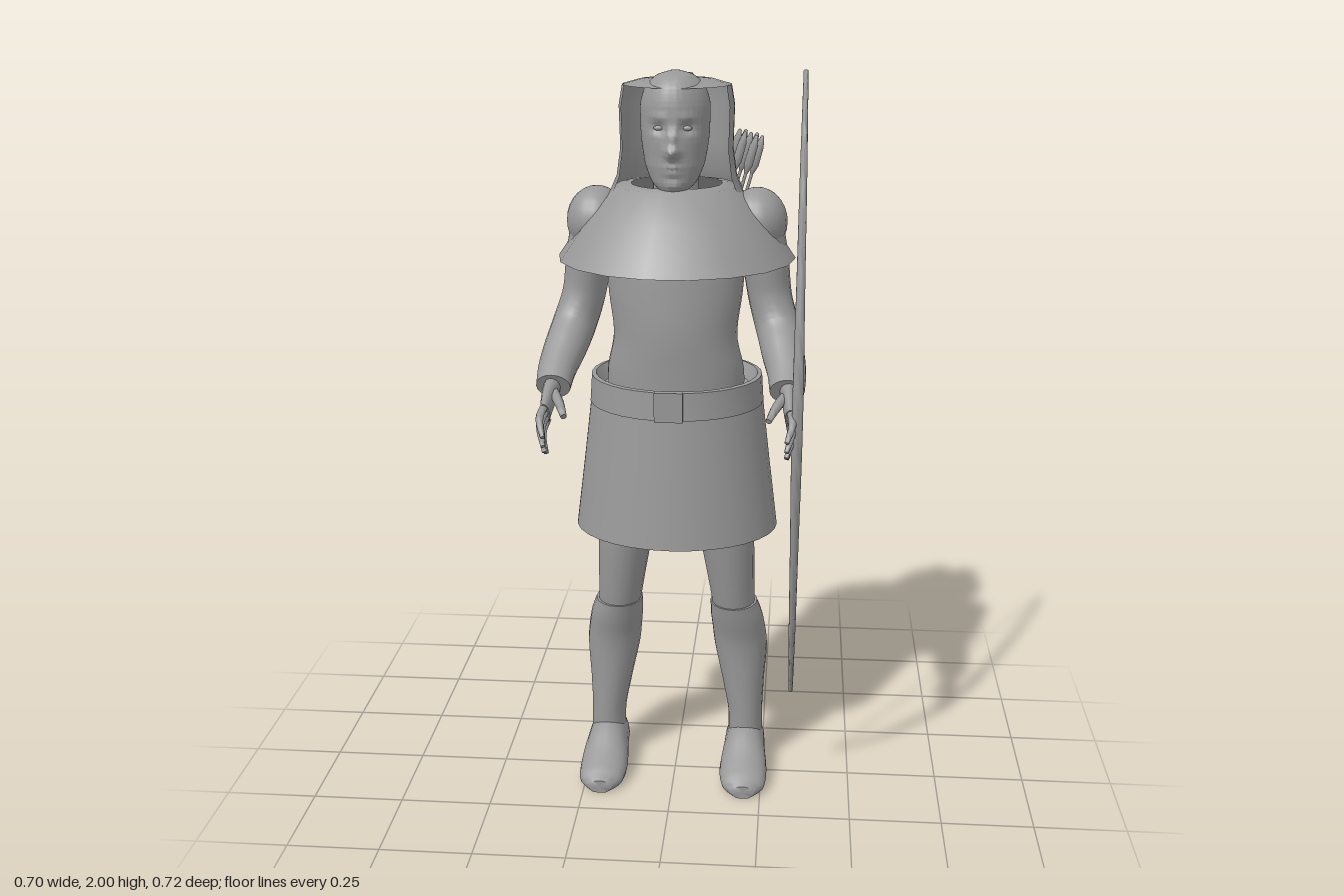
import * as THREE from 'three';
import { toCreasedNormals } from 'three/addons/utils/BufferGeometryUtils.js';

const V = (x, y, z) => new THREE.Vector3(x, y, z);
const grey = new THREE.MeshStandardMaterial({ color: 0x999999, side: THREE.DoubleSide });
grey.name = 'plain grey';

function mesh(name, geometry, parent) {
  const m = new THREE.Mesh(geometry, grey);
  m.name = name;
  parent.add(m);
  return m;
}

// Capped skin over elliptical sections [x, y, z, radius across, radius other way].
// A fixed axis keeps the rings parallel; otherwise they follow the path.
function loft(sections, { rings = 24, sides = 20, axis = null, shape = null, crease = 1 } = {}) {
  const path = new THREE.CatmullRomCurve3(sections.map(s => V(s[0], s[1], s[2])));
  const radii = new THREE.CatmullRomCurve3(sections.map(s => V(s[3], s[4], 0)));
  const pos = [], index = [];
  for (let i = -1; i <= rings + 1; i++) {
    const t = Math.min(Math.max(i / rings, 0), 1);
    const end = i < 0 || i > rings ? 0 : 1;
    const c = path.getPoint(t), r = radii.getPoint(t);
    const dir = axis || path.getTangent(t);
    const across = V(1, 0, 0).addScaledVector(dir, -dir.x).normalize();
    const other = dir.clone().cross(across);
    for (let j = 0; j < sides; j++) {
      const a = j / sides * Math.PI * 2;
      const p = c.clone().addScaledVector(across, Math.cos(a) * r.x * end)
        .addScaledVector(other, Math.sin(a) * r.y * end);
      if (shape) shape(p);
      pos.push(p.x, p.y, p.z);
    }
  }
  for (let i = 0; i < rings + 2; i++) for (let j = 0; j < sides; j++) {
    const a = i * sides + j, b = i * sides + (j + 1) % sides;
    index.push(a, b, a + sides, b, b + sides, a + sides);
  }
  const g = new THREE.BufferGeometry();
  g.setAttribute('position', new THREE.Float32BufferAttribute(pos, 3));
  g.setIndex(index);
  return toCreasedNormals(g, crease);
}

// Turned shell given as [radius, y] pairs
function turned(points, sides, start = 0, length = Math.PI * 2) {
  return new THREE.LatheGeometry(points.map(p => new THREE.Vector2(p[0], p[1])), sides, start, length);
}

// Soft bumps and hollows for the features: [x, y, width, height, depth]
const features = [
  [0, 1.795, 0.017, 0.016, 0.030], [0, 1.83, 0.011, 0.026, 0.015],
  [0.036, 1.855, 0.019, 0.013, -0.013], [-0.036, 1.855, 0.019, 0.013, -0.013],
  [0.035, 1.882, 0.022, 0.008, 0.004], [-0.035, 1.882, 0.022, 0.008, 0.004],
  [0, 1.761, 0.022, 0.006, 0.008], [0, 1.745, 0.02, 0.006, 0.008],
  [0, 1.71, 0.02, 0.012, 0.006]
];
function sculptFace(p) {
  if (p.z < 0.02) return;
  let dz = 0;
  for (const [x, y, w, h, d] of features)
    dz += d * Math.exp(-(((p.x - x) / w) ** 2) - ((p.y - y) / h) ** 2);
  p.z += dz;
}

function buildHead(parent) {
  const head = new THREE.Group();
  head.name = 'head';
  parent.add(head);
  mesh('face', loft([
    [0, 1.688, 0.055, 0.028, 0.03], [0, 1.715, 0.032, 0.057, 0.062], [0, 1.76, 0.01, 0.077, 0.088],
    [0, 1.83, 0, 0.088, 0.098], [0, 1.9, -0.005, 0.09, 0.1], [0, 1.95, -0.005, 0.078, 0.09],
    [0, 1.98, -0.005, 0.047, 0.058], [0, 1.991, -0.005, 0.012, 0.015]
  ], { rings: 80, sides: 80, axis: V(0, 1, 0), shape: sculptFace, crease: 1.4 }), head);
  mesh('neck', new THREE.CylinderGeometry(0.055, 0.07, 0.2, 20), head).position.set(0, 1.66, -0.02);
  for (const s of [-1, 1]) {
    const eye = mesh('eye', new THREE.SphereGeometry(0.013, 16, 10), head);
    eye.scale.set(1, 0.5, 0.5);
    eye.position.set(s * 0.036, 1.855, 0.078);
  }
}

function buildHood(parent) {
  const hood = new THREE.Group();
  hood.name = 'hood';
  parent.add(hood);
  // Shell open at the face
  const open = 1.17;
  mesh('hoodShell', turned([[0.175, 1.68], [0.158, 1.72], [0.148, 1.79], [0.151, 1.9], [0.142, 1.952]],
    14, open, Math.PI * 2 - open * 2), hood).position.z = -0.058;
  mesh('hoodTop', turned([[0.142, 1.952], [0.1, 1.964], [0.05, 1.969], [0.001, 1.97]], 18), hood).position.z = -0.058;
  mesh('hoodTail', loft([
    [0.0, 1.965, -0.195, 0.032, 0.012], [0.012, 1.88, -0.222, 0.034, 0.022],
    [0.035, 1.74, -0.262, 0.026, 0.02], [0.055, 1.6, -0.302, 0.01, 0.01]
  ], { sides: 10 }), hood);
  mesh('cape', turned([[0.315, 1.505], [0.285, 1.55], [0.235, 1.62], [0.16, 1.695], [0.12, 1.7]], 18, Math.PI / 18),
    hood).position.z = -0.05;
}

function buildBody(parent) {
  mesh('torso', loft([
    [0, 0.84, -0.04, 0.15, 0.11], [0, 1.0, -0.03, 0.18, 0.13], [0, 1.19, -0.02, 0.185, 0.125],
    [0, 1.31, -0.005, 0.165, 0.115], [0, 1.42, -0.01, 0.178, 0.115], [0, 1.52, -0.02, 0.185, 0.115],
    [0, 1.61, -0.04, 0.16, 0.09], [0, 1.67, -0.04, 0.08, 0.06]
  ], { rings: 32, sides: 32, axis: V(0, 1, 0) }), parent);
  // Skirt and belt are oval tubes
  const skirt = mesh('skirt', turned([[0.28, 0.75], [0.255, 0.95], [0.235, 1.12]], 32), parent);
  skirt.scale.z = 0.83;
  skirt.position.z = -0.06;
  const belt = mesh('belt', toCreasedNormals(
    turned([[0.225, 1.11], [0.237, 1.11], [0.232, 1.185], [0.22, 1.187], [0.2, 1.15], [0.13, 1.14]], 32), 0.6), parent);
  belt.scale.z = 0.925;
  belt.position.z = -0.055;
  mesh('buckle', new THREE.BoxGeometry(0.075, 0.08, 0.02), parent).position.set(-0.005, 1.148, 0.16);
}

function buildArm(parent, s) {
  const arm = new THREE.Group();
  arm.name = s > 0 ? 'leftArm' : 'rightArm';
  parent.add(arm);
  const limb = (name, sections, options) =>
    mesh(name, loft(sections.map(([x, ...rest]) => [s * x, ...rest]), options), arm);
  const shoulder = mesh('shoulder', new THREE.SphereGeometry(1, 20, 14), arm);
  shoulder.scale.set(0.08, 0.09, 0.092);
  shoulder.position.set(s * 0.212, 1.6, -0.05);
  limb('sleeve', [
    [0.215, 1.6, -0.05, 0.065, 0.08], [0.235, 1.5, -0.055, 0.062, 0.082], [0.25, 1.4, -0.048, 0.058, 0.075],
    [0.272, 1.325, -0.012, 0.058, 0.066], [0.288, 1.275, 0.06, 0.056, 0.056],
    [0.3, 1.235, 0.13, 0.05, 0.046], [0.302, 1.205, 0.185, 0.045, 0.04]
  ], { rings: 36 });
  limb('palm', [
    [0.302, 1.215, 0.165, 0.022, 0.025], [0.308, 1.19, 0.21, 0.02, 0.034], [0.312, 1.155, 0.265, 0.013, 0.036]
  ], { rings: 10, sides: 14 });
  // Four fingers fan out in the upright plane of the palm
  const tips = [[1.12, 0.355], [1.095, 0.352], [1.073, 0.33], [1.06, 0.3]];
  tips.forEach(([y, z], i) => {
    const y0 = 1.178 - i * 0.016, z0 = 0.27 - i * 0.009;
    limb('finger', [
      [0.312, y0, z0 - 0.01, 0.011, 0.011], [0.318, (y0 + y) / 2 + 0.008, (z0 + z) / 2 + 0.004, 0.01, 0.01],
      [0.305, y, z, 0.006, 0.006]
    ], { rings: 8, sides: 8 });
  });
  limb('thumb', [
    [0.302, 1.2, 0.2, 0.014, 0.014], [0.278, 1.185, 0.255, 0.013, 0.013], [0.258, 1.16, 0.305, 0.008, 0.008]
  ], { rings: 8, sides: 8 });
}

function buildLeg(parent, s) {
  const leg = new THREE.Group();
  leg.name = s > 0 ? 'leftLeg' : 'rightLeg';
  parent.add(leg);
  const limb = (name, sections, options) =>
    mesh(name, loft(sections.map(([x, ...rest]) => [s * x, ...rest]), options), leg);
  const up = V(0, 1, 0);
  limb('thigh', [
    [0.165, 0.48, -0.055, 0.058, 0.07], [0.158, 0.56, -0.045, 0.063, 0.076],
    [0.138, 0.75, -0.03, 0.078, 0.09], [0.105, 0.94, -0.03, 0.085, 0.1]
  ], { axis: up });
  limb('boot', [
    [0.2, 0.05, -0.075, 0.05, 0.06], [0.2, 0.15, -0.073, 0.049, 0.061], [0.192, 0.26, -0.078, 0.06, 0.068],
    [0.182, 0.39, -0.08, 0.076, 0.078], [0.172, 0.47, -0.062, 0.074, 0.08], [0.163, 0.52, -0.05, 0.066, 0.08]
  ], { axis: up, rings: 30 });
  // Foot runs heel to toe with a flat sole
  limb('foot', [
    [0.2, 0.055, -0.138, 0.04, 0.06], [0.2, 0.06, -0.1, 0.056, 0.078], [0.2, 0.055, -0.02, 0.06, 0.08],
    [0.2, 0.038, 0.07, 0.067, 0.052], [0.202, 0.028, 0.13, 0.06, 0.034], [0.202, 0.022, 0.165, 0.03, 0.02]
  ], { axis: V(0, 0, 1), rings: 24, shape: p => { p.y = Math.max(p.y, 0.005); } });
}

function buildBow(parent) {
  const bow = new THREE.Group();
  bow.name = 'bow';
  parent.add(bow);
  mesh('bowStave', loft([
    [0.33, 0.3, 0.07, 0.006, 0.006], [0.33, 0.53, 0.17, 0.009, 0.01], [0.33, 0.8, 0.25, 0.011, 0.012],
    [0.33, 1.15, 0.302, 0.014, 0.014], [0.33, 1.5, 0.25, 0.011, 0.012], [0.33, 1.77, 0.17, 0.009, 0.01],
    [0.33, 1.998, 0.07, 0.006, 0.006]
  ], { rings: 48, sides: 8 }), bow);
  mesh('bowString', new THREE.CylinderGeometry(0.003, 0.003, 1.69, 6), bow).position.set(0.33, 1.15, 0.07);
}

function buildQuiver(parent) {
  // Built upright, then leaned across the back
  const quiver = new THREE.Group();
  quiver.name = 'quiver';
  parent.add(quiver);
  const top = V(0.135, 1.62, -0.28), bottom = V(-0.01, 1.1, -0.28);
  quiver.position.copy(bottom);
  quiver.quaternion.setFromUnitVectors(V(0, 1, 0), top.clone().sub(bottom).normalize());
  const h = top.distanceTo(bottom);
  mesh('quiverCase', toCreasedNormals(
    turned([[0.001, 0], [0.046, 0], [0.062, h], [0.054, h], [0.05, h - 0.05], [0.001, h - 0.05]], 16), 0.7), quiver);
  for (let i = 0; i < 7; i++) {
    const r = i ? 0.032 : 0, a = i * Math.PI / 3;
    const arrow = new THREE.Group();
    arrow.name = 'arrow';
    arrow.position.set(Math.cos(a) * r, h - 0.05, Math.sin(a) * r);
    quiver.add(arrow);
    mesh('arrowShaft', new THREE.CylinderGeometry(0.005, 0.005, 0.2, 6), arrow).position.y = 0.1;
    mesh('fletching', turned([[0.004, 0.13], [0.014, 0.16], [0.013, 0.21], [0.005, 0.24], [0.001, 0.242]], 6), arrow);
  }
}

export function createModel() {
  const model = new THREE.Group();
  model.name = 'archer';
  buildBody(model);
  buildHead(model);
  buildHood(model);
  for (const s of [-1, 1]) {
    buildArm(model, s);
    buildLeg(model, s);
  }
  buildBow(model);
  buildQuiver(model);
  return model;
}
